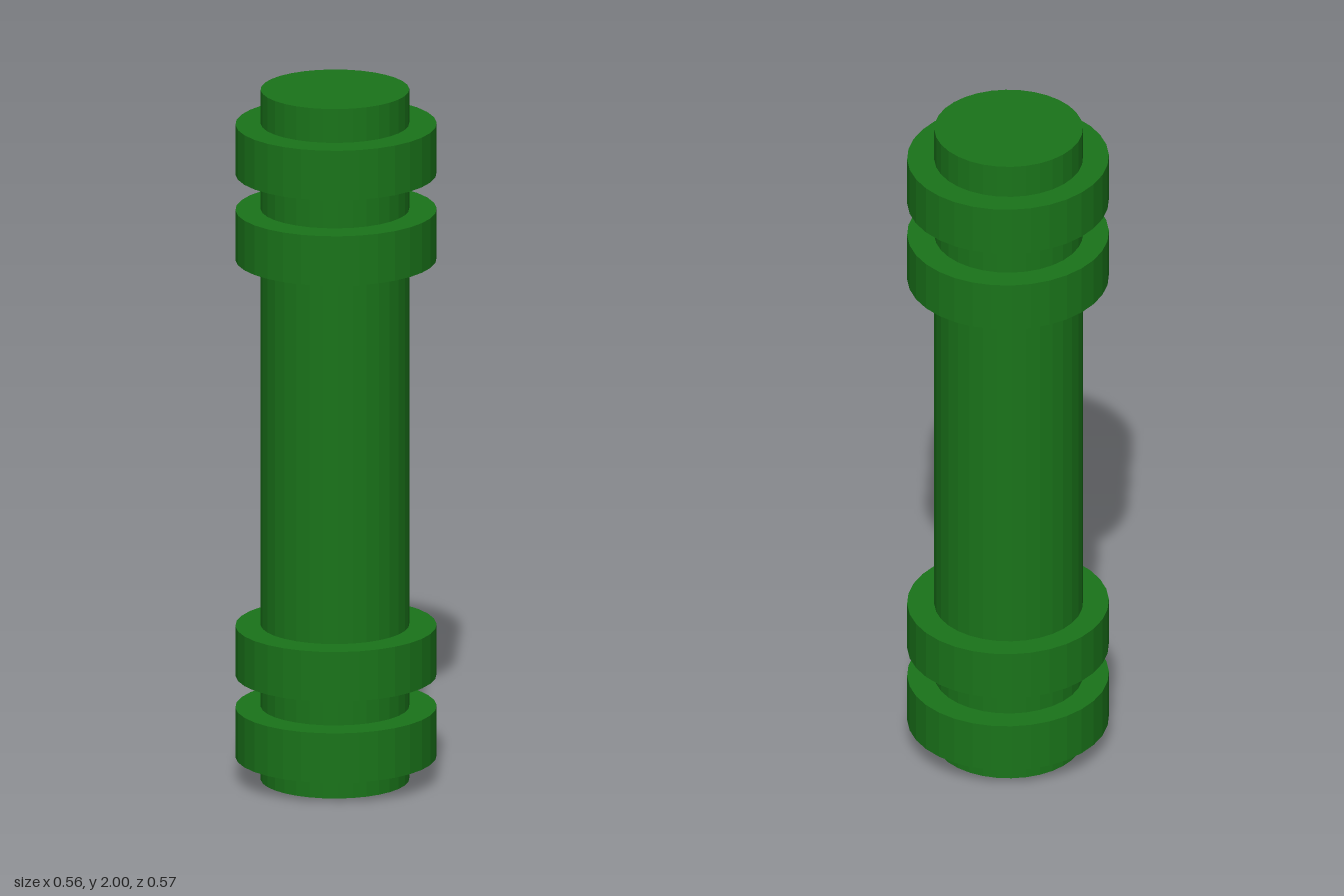
import * as THREE from 'three';

const SIDES = 32;

export function createModel() {
  const group = new THREE.Group();
  group.name = 'ringedHandle';
  const material = new THREE.MeshStandardMaterial({ color: 0x1a741a, flatShading: true });

  // Upright cylinder between two heights
  function addCylinder(name, radius, bottom, top) {
    const geometry = new THREE.CylinderGeometry(radius, radius, top - bottom, SIDES);
    const mesh = new THREE.Mesh(geometry, material);
    mesh.name = name;
    mesh.position.y = (bottom + top) / 2;
    group.add(mesh);
    return mesh;
  }

  // Shaft, set very slightly off the axis of the rings
  const shaft = addCylinder('shaft', 0.208, 0, 2);
  shaft.position.x = -0.005;
  shaft.position.z = -0.005;

  // Two raised rings near each end, a touch deeper than wide
  const rings = [
    ['lowerEndRing', 0.068, 0.212],
    ['lowerInnerRing', 0.304, 0.448],
    ['upperInnerRing', 1.51, 1.654],
    ['upperEndRing', 1.758, 1.902],
  ];
  for (const [name, bottom, top] of rings) {
    const ring = addCylinder(name, 0.281, bottom, top);
    ring.scale.z = 1.016;
  }

  return group;
}
